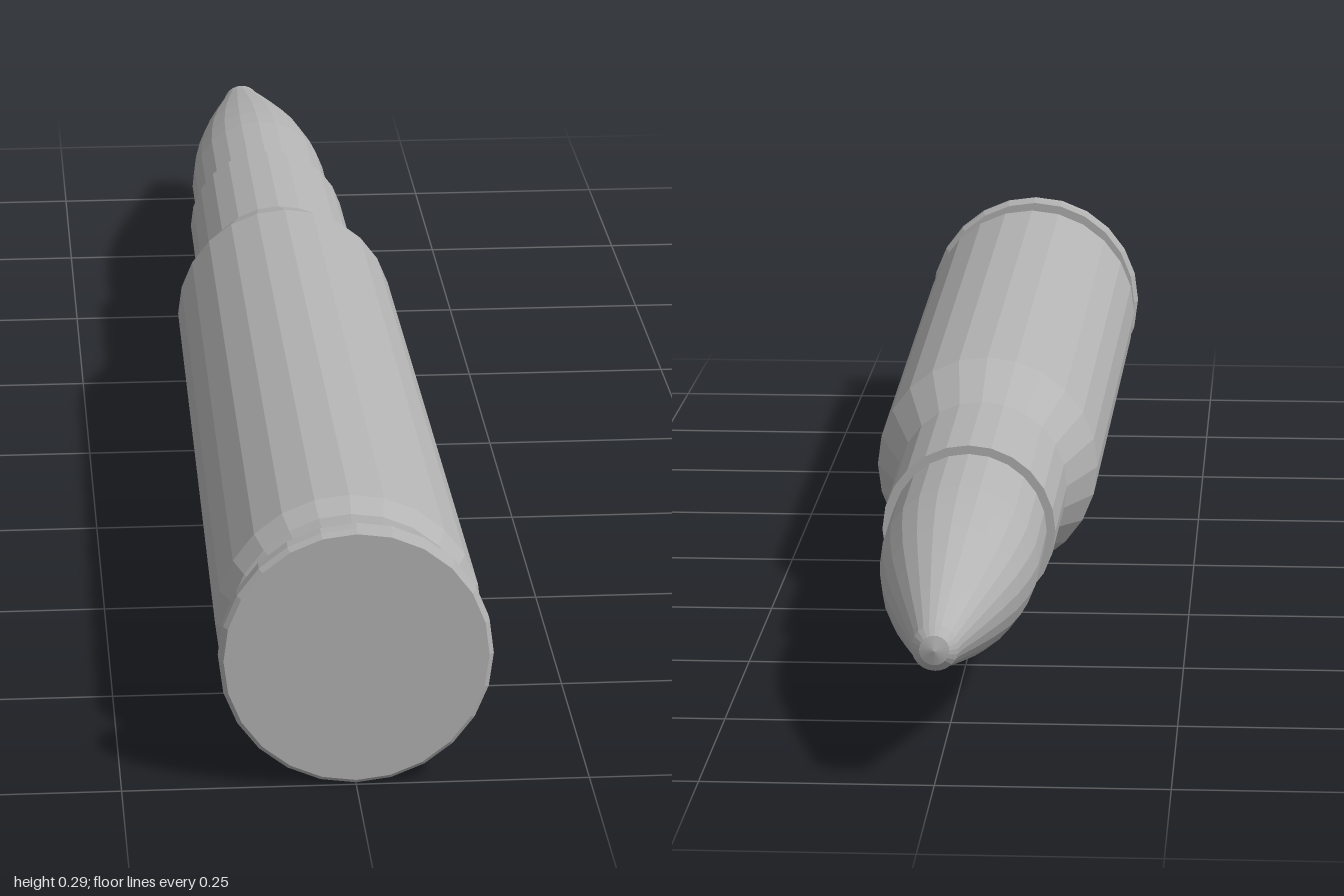
import * as THREE from 'three';

const SIDES = 24;
const AXIS_HEIGHT = 0.146;

// Turned part lying along z; profile pairs are [radius, z], running from front to back
function turned(name, profile, material) {
  const points = profile.map(([r, z]) => new THREE.Vector2(r, -z));
  const geometry = new THREE.LatheGeometry(points, SIDES).toNonIndexed();
  geometry.rotateX(-Math.PI / 2);
  geometry.computeVertexNormals();
  const mesh = new THREE.Mesh(geometry, material);
  mesh.name = name;
  mesh.position.y = AXIS_HEIGHT;
  return mesh;
}

export function createModel() {
  const group = new THREE.Group();
  group.name = 'cartridge';
  const metal = new THREE.MeshStandardMaterial({ color: 0xb4b4b4 });
  metal.name = 'grey metal';

  // Rim with a slight chamfer on the flat base
  group.add(turned('rim', [
    [0, 1], [0.141, 1], [0.146, 0.995], [0.146, 0.98], [0.141, 0.975], [0.123, 0.975],
  ], metal));

  // Extractor groove and its bevel
  group.add(turned('extractorGroove', [
    [0.123, 0.975], [0.123, 0.925], [0.132, 0.92], [0.144, 0.895],
  ], metal));

  // Tapered body, shoulder, neck and the mouth lip
  group.add(turned('case', [
    [0.144, 0.895], [0.134, -0.1], [0.102, -0.21], [0.1, -0.445], [0.09, -0.445],
  ], metal));

  // Pointed projectile with a rounded tip
  group.add(turned('projectile', [
    [0.09, -0.445], [0.089, -0.61], [0.084, -0.67], [0.075, -0.74], [0.062, -0.81],
    [0.045, -0.89], [0.028, -0.965], [0.025, -0.985], [0.016, -0.996], [0, -1],
  ], metal));

  return group;
}
